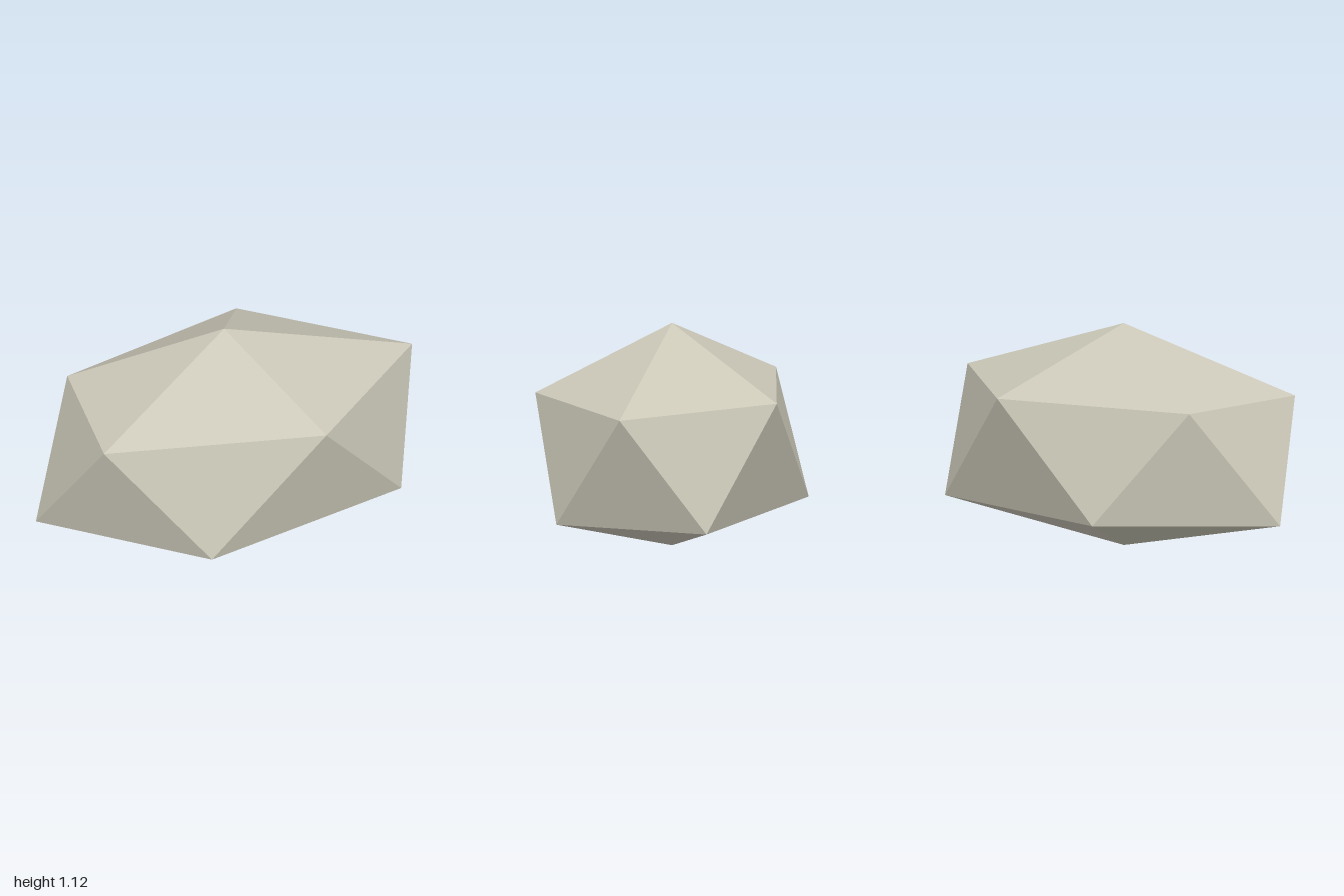
import * as THREE from 'three';

// Faceted boulder: two staggered five-sided rings closed by a top and a bottom point.
export function createModel() {
  const group = new THREE.Group();
  group.name = 'boulder';

  const stone = new THREE.MeshStandardMaterial({ color: 0xcbc8b8 });
  stone.name = 'paleStone';

  const top = [0, 1.12, -0.01];
  const bottom = [0, 0, -0.01];
  // Rings run from +x towards +z; each lower corner sits between two upper ones.
  const upper = [
    [1, 0.797, -0.01], [0.305, 0.793, 0.61], [-0.785, 0.793, 0.37],
    [-0.7, 0.795, -0.355], [0.305, 0.793, -0.63],
  ];
  const lower = [
    [0.795, 0.222, 0.37], [-0.31, 0.213, 0.627], [-1, 0.215, -0.01],
    [-0.303, 0.222, -0.63], [0.82, 0.212, -0.408],
  ];

  const positions = [];
  const face = (...corners) => corners.forEach((c) => positions.push(...c));
  for (let i = 0; i < 5; i++) {
    const j = (i + 1) % 5;
    face(top, upper[j], upper[i]); // cap
    face(upper[i], upper[j], lower[i]); // side band
    face(lower[i], upper[j], lower[j]);
    face(bottom, lower[i], lower[j]); // underside
  }

  const geometry = new THREE.BufferGeometry();
  geometry.setAttribute('position', new THREE.Float32BufferAttribute(positions, 3));
  geometry.computeVertexNormals(); // unshared corners keep the facets flat

  const rock = new THREE.Mesh(geometry, stone);
  rock.name = 'rock';
  group.add(rock);
  return group;
}
